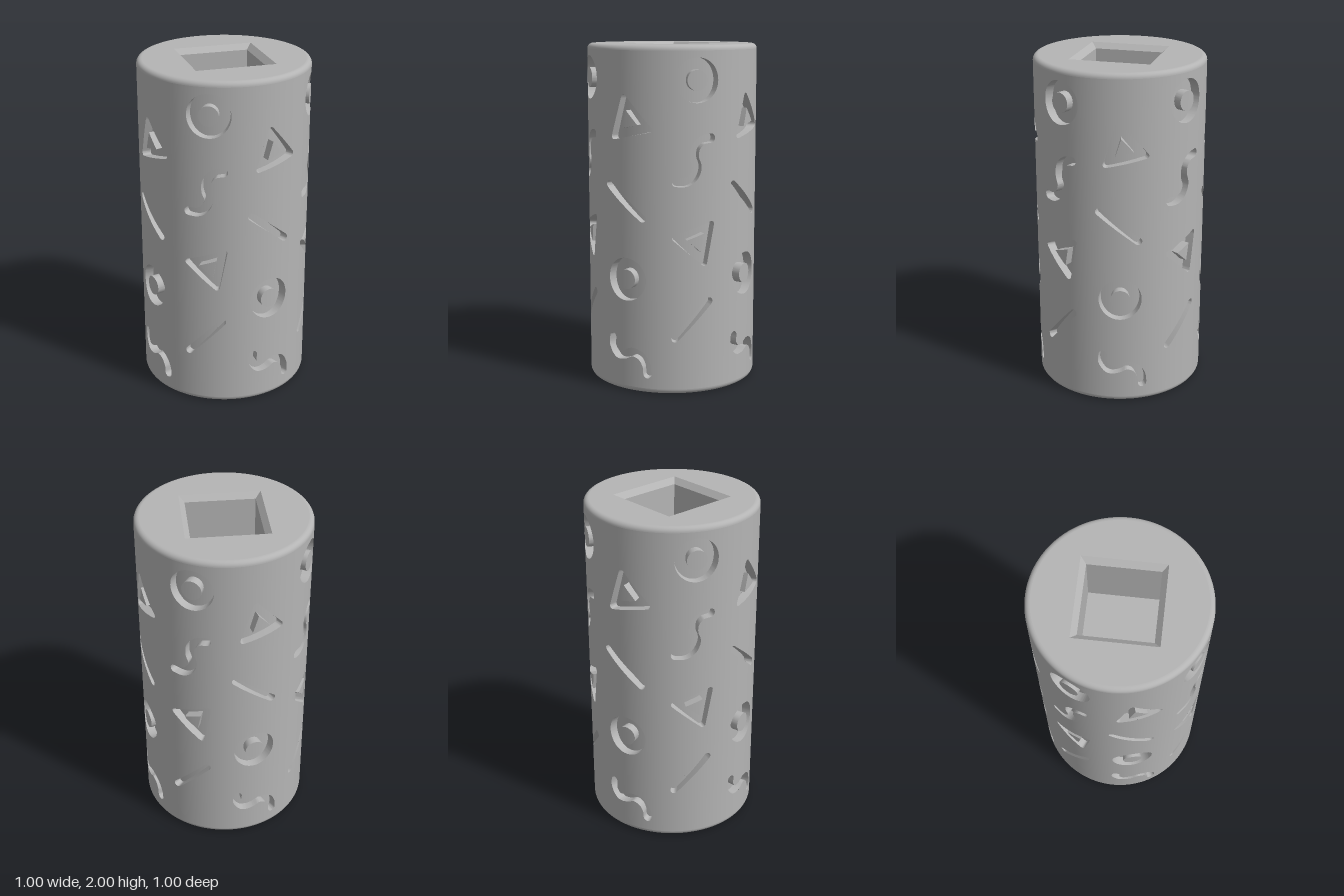
import * as THREE from 'three';
import { mergeGeometries, toCreasedNormals } from 'three/addons/utils/BufferGeometryUtils.js';

const R = 0.5, FLOOR = 0.45, FILLET = 0.03, HEIGHT = 2;
const STEP = Math.PI / 72;                 // angular width of one strip of the barrel
const START = -20 * STEP, QUARTER = 36;    // the pattern repeats every quarter turn

const clay = new THREE.MeshStandardMaterial({ color: 0xb4b4b4 });
clay.name = 'grey';

const V = (x, y) => new THREE.Vector2(x, y);

// Keep contours finely sampled, so that they bend smoothly around the barrel
function densify(points, gap = 0.012) {
  return points.flatMap((p, i) => {
    const q = points[(i + 1) % points.length];
    const n = Math.max(1, Math.ceil(p.distanceTo(q) / gap));
    return Array.from({ length: n }, (_, k) => p.clone().lerp(q, k / n));
  });
}

// ---- Contours, as (arc length, height), all counter-clockwise
function arc(cx, cy, r, from, to, n) {
  return Array.from({ length: n + 1 }, (_, i) => {
    const a = from + (to - from) * i / n;
    return V(cx + r * Math.cos(a), cy + r * Math.sin(a));
  });
}

const disc = (cx, cy, r) => arc(cx, cy, r, 0, Math.PI * 2, 48).slice(0, -1);

function triangle(cx, cy, r, degrees, corner) {
  return [0, 1, 2].flatMap((i) => {
    const a = THREE.MathUtils.degToRad(degrees + i * 120);
    const d = r - 2 * corner;
    const x = cx + d * Math.cos(a), y = cy + d * Math.sin(a);
    return corner ? arc(x, y, corner, a - Math.PI / 3, a + Math.PI / 3, 6) : [V(x, y)];
  });
}

// A round-ended band of half width r along a smooth path
function band(path, r) {
  const curve = new THREE.SplineCurve(path.map(([x, y]) => V(x, y)));
  const n = path.length > 2 ? 36 : 1;
  const right = [], left = [];
  for (let i = 0; i <= n; i++) {
    const p = curve.getPoint(i / n), t = curve.getTangent(i / n);
    right.push(V(p.x + t.y * r, p.y - t.x * r));
    left.unshift(V(p.x - t.y * r, p.y + t.x * r));
  }
  const cap = (u) => {
    const p = curve.getPoint(u), t = curve.getTangent(u), s = u ? 0 : Math.PI;
    const a = Math.atan2(t.y, t.x) + s;
    return arc(p.x, p.y, r, a - Math.PI / 2, a + Math.PI / 2, 10).slice(1, -1);
  };
  return [...right, ...cap(1), ...left, ...cap(0)];
}

const ENGRAVINGS = [
  { name: 'ringEngraving', outline: disc(-0.232, 1.807, 0.126), island: disc(-0.232, 1.807, 0.058) },
  { name: 'ringEngraving', outline: disc(0.133, 0.668, 0.126), island: disc(0.133, 0.668, 0.058) },
  { name: 'triangleEngraving', outline: triangle(0.152, 1.577, 0.168, 102, 0.017), island: triangle(0.152, 1.577, 0.062, 102, 0) },
  { name: 'triangleEngraving', outline: triangle(-0.23, 0.897, 0.165, 49, 0.017), island: triangle(-0.23, 0.897, 0.062, 49, 0) },
  { name: 'barEngraving', outline: band([[0.012, 1.209], [0.238, 1.03]], 0.022) },
  { name: 'barEngraving', outline: band([[-0.358, 0.335], [-0.156, 0.546]], 0.022) },
  { name: 'squiggleEngraving', outline: band([[-0.15, 1.485], [-0.202, 1.475], [-0.242, 1.432], [-0.248, 1.374],
    [-0.232, 1.321], [-0.254, 1.268], [-0.297, 1.241], [-0.351, 1.241]], 0.026) },
  { name: 'squiggleEngraving', outline: band([[0.03, 0.308], [0.028, 0.26], [0.064, 0.214], [0.117, 0.217],
    [0.173, 0.239], [0.23, 0.217], [0.261, 0.164], [0.266, 0.117]], 0.026) },
].map((e) => ({ ...e, outline: densify(e.outline), island: e.island && densify(e.island) }));

// ---- Bending flat pieces around the barrel
const bend = (u, y, r) => [r * Math.sin(u / R), y, r * Math.cos(u / R)];

// Part of a convex polygon on one side of the line u = limit
function clip(poly, limit, sign) {
  return poly.flatMap((p, i) => {
    const q = poly[(i + 1) % poly.length];
    const a = (p.x - limit) * sign, b = (q.x - limit) * sign;
    const out = a >= 0 ? [p] : [];
    if (a * b < 0) out.push(p.clone().lerp(q, a / (a - b)));
    return out;
  });
}

// Flat outline with holes, cut into narrow strips and bent to radius r
function bentSheet(outline, holes, r) {
  const shape = new THREE.Shape(outline);
  shape.holes = holes.map((h) => new THREE.Path(h));
  const flat = new THREE.ShapeGeometry(shape).toNonIndexed().attributes.position;
  const pos = [], nor = [], w = STEP * R, u0 = START * R;
  for (let i = 0; i < flat.count; i += 3) {
    const tri = [0, 1, 2].map((k) => V(flat.getX(i + k), flat.getY(i + k)));
    const us = tri.map((p) => p.x);
    const first = Math.floor((Math.min(...us) - u0) / w + 1e-6);
    const last = Math.ceil((Math.max(...us) - u0) / w - 1e-6);
    for (let s = first; s < last; s++) {
      const poly = clip(clip(tri, u0 + s * w, 1), u0 + (s + 1) * w, -1);
      for (let k = 1; k + 1 < poly.length; k++) {
        for (const p of [poly[0], poly[k], poly[k + 1]]) {
          pos.push(...bend(p.x, p.y, r));
          nor.push(...bend(p.x, 0, 1));
        }
      }
    }
  }
  const g = new THREE.BufferGeometry();
  g.setAttribute('position', new THREE.Float32BufferAttribute(pos, 3));
  g.setAttribute('normal', new THREE.Float32BufferAttribute(nor, 3));
  return g;
}

// Side walls between the barrel surface and the engraved floor
function wall(contour) {
  const pos = [];
  contour.forEach((a, i) => {
    const b = contour[(i + 1) % contour.length];
    const at = bend(a.x, a.y, R), bt = bend(b.x, b.y, R);
    const af = bend(a.x, a.y, FLOOR), bf = bend(b.x, b.y, FLOOR);
    pos.push(...at, ...bt, ...bf, ...at, ...bf, ...af);
  });
  const g = new THREE.BufferGeometry();
  g.setAttribute('position', new THREE.Float32BufferAttribute(pos, 3));
  return toCreasedNormals(g, 0.6);
}

function engraving({ outline, island }) {
  const parts = [bentSheet(outline, island ? [island] : [], FLOOR), wall(outline)];
  if (island) parts.push(wall([...island].reverse()), bentSheet(island, [], R));
  return mergeGeometries(parts);
}

function mesh(name, geometry) {
  const m = new THREE.Mesh(geometry, clay);
  m.name = name;
  return m;
}

// ---- Rounded rim, flat end and chamfered square socket, with the end face at y = 0
function createEnd() {
  const end = new THREE.Group();
  const rim = new THREE.LatheGeometry(arc(R - FILLET, -FILLET, FILLET, 0, Math.PI / 2, 8), 4 * QUARTER, START);
  const face = new THREE.Shape(disc(0, 0, R - FILLET).length ? arc(0, 0, R - FILLET, 0, Math.PI * 2, 4 * QUARTER).slice(0, -1) : []);
  const a = 0.235, b = 0.203, chamfer = 0.032, depth = 0.4;
  face.holes.push(new THREE.Path([V(-a, -a), V(-a, a), V(a, a), V(a, -a)]));

  // Four inward-facing sides
  const sides = (top, bottom, y0, y1) => {
    const g = new THREE.CylinderGeometry(top * Math.SQRT2, bottom * Math.SQRT2, y0 - y1, 4, 1, true)
      .rotateY(Math.PI / 4).translate(0, (y0 + y1) / 2, 0).scale(-1, 1, 1).toNonIndexed();
    g.computeVertexNormals();
    return g;
  };
  end.add(
    mesh('roundedRim', rim),
    mesh('endFace', new THREE.ShapeGeometry(face).rotateX(-Math.PI / 2)),
    mesh('socketChamfer', sides(a, b, 0, -chamfer)),
    mesh('socketWalls', sides(b, b, -chamfer, -depth)),
    mesh('socketFloor', new THREE.PlaneGeometry(2 * b, 2 * b).rotateX(-Math.PI / 2).translate(0, -depth, 0)),
  );
  return end;
}

export function createModel() {
  const roller = new THREE.Group();
  roller.name = 'patternRoller';

  // Barrel surface for one quarter turn, pierced by the engravings
  const u0 = START * R, u1 = u0 + QUARTER * STEP * R;
  const sheet = bentSheet(
    [V(u0, FILLET), V(u1, FILLET), V(u1, HEIGHT - FILLET), V(u0, HEIGHT - FILLET)],
    ENGRAVINGS.map((e) => e.outline), R);
  const cuts = ENGRAVINGS.map((e) => [e.name, engraving(e)]);
  for (let i = 0; i < 4; i++) {
    const quarter = new THREE.Group();
    quarter.name = 'barrelQuarter';
    quarter.rotation.y = i * Math.PI / 2;
    quarter.add(mesh('barrelSurface', sheet), ...cuts.map(([name, g]) => mesh(name, g)));
    roller.add(quarter);
  }

  const top = createEnd();
  top.name = 'topEnd';
  top.position.y = HEIGHT;
  const bottom = createEnd();
  bottom.name = 'bottomEnd';
  bottom.rotation.x = Math.PI;
  roller.add(top, bottom);
  return roller;
}
